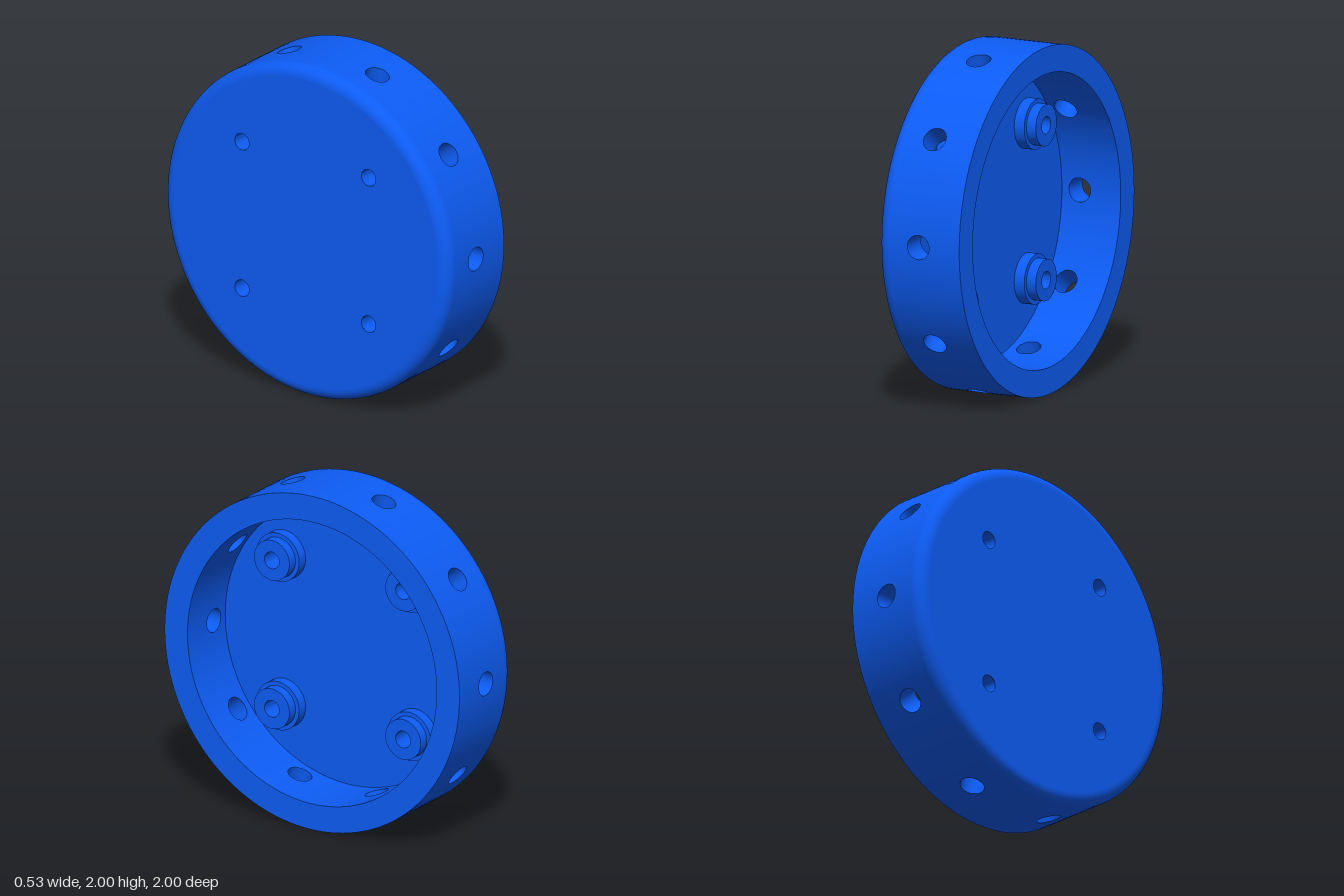
import * as THREE from 'three';
import { toCreasedNormals } from 'three/addons/utils/BufferGeometryUtils.js';

const R = 1, INNER = 0.845;                  // outer and inner wall radius
const BACK = -0.265, RIM = 0.265;            // ends along the axis
const FLOOR = -0.115, FILLET = 0.07;
const HOLES = 10, HOLE_R = 0.07;             // radial holes through the wall
const BORE = 0.05, BOSS_POS = 0.445;
const SECTOR = Math.PI * 2 / HOLES;
const SEG_A = 12, SEG_Y = 8;                 // samples along the sector edges

const onWall = (r, angle, y) => [r * Math.sin(angle), y, r * Math.cos(angle)];

// Point on the edge of a radial hole where it meets radius r
const holeEdge = (r, t) => [Math.asin(HOLE_R * Math.sin(t) / r), HOLE_R * Math.cos(t)];

// Counter-clockwise outline of one wall sector in (angle, y)
function sectorOutline(y0, y1) {
  const h = SECTOR / 2, pts = [];
  const corners = [[-h, y0, SEG_A], [h, y0, SEG_Y], [h, y1, SEG_A], [-h, y1, SEG_Y]];
  corners.forEach(([a, y, n], k) => {
    const [a2, y2] = corners[(k + 1) % 4];
    for (let i = 0; i < n; i++) pts.push([a + (a2 - a) * i / n, y + (y2 - y) * i / n]);
  });
  return pts;
}

// Adds a closed band of quads between successive loops
function addBands(out, loops, flip) {
  for (let i = 0; i < loops.length - 1; i++) {
    const n = loops[i].length;
    for (let j = 0; j < n; j++) {
      const k = (j + 1) % n;
      const a = loops[i][j], b = loops[i + 1][j], c = loops[i + 1][k], d = loops[i][k];
      const tris = flip ? [a, c, b, a, d, c] : [a, b, c, a, c, d];
      for (const p of tris) out.push(...p);
    }
  }
}

function toGeometry(positions) {
  const g = new THREE.BufferGeometry();
  g.setAttribute('position', new THREE.Float32BufferAttribute(positions, 3));
  return toCreasedNormals(g, 0.6);
}

// Cylindrical skin pierced by the ring of holes
function piercedSkin(r, y0, inward) {
  const out = [], outline = sectorOutline(y0, RIM), rings = 6;
  for (let s = 0; s < HOLES; s++) {
    const loops = [];
    for (let i = 0; i <= rings; i++) {
      loops.push(outline.map(([a, y]) => {
        const [ha, hy] = holeEdge(r, Math.atan2(a * r, y));
        const f = i / rings;
        return onWall(r, s * SECTOR + ha + (a - ha) * f, hy + (y - hy) * f);
      }));
    }
    addBands(out, loops, inward);
  }
  return toGeometry(out);
}

// Linings of the radial holes
function holeLinings() {
  const out = [], outline = sectorOutline(BACK + FILLET, RIM);
  for (let s = 0; s < HOLES; s++) {
    const loops = [INNER, R].map(r => outline.map(([a, y]) => {
      const [ha, hy] = holeEdge(r, Math.atan2(a * R, y));
      return onWall(r, s * SECTOR + ha, hy);
    }));
    addBands(out, loops, false);
  }
  return toGeometry(out);
}

const bossCentres = [[1, 1], [1, -1], [-1, 1], [-1, -1]]
  .map(([x, z]) => [x * BOSS_POS, z * BOSS_POS]);

// Flat disc with the four bores cut out
function drilledDisc(radius, y, up) {
  const shape = new THREE.Shape().absarc(0, 0, radius, 0, Math.PI * 2);
  for (const [x, z] of bossCentres) {
    shape.holes.push(new THREE.Path().absarc(x, z, BORE, 0, Math.PI * 2, true));
  }
  return new THREE.ShapeGeometry(shape, 60)
    .rotateX(up ? -Math.PI / 2 : Math.PI / 2).translate(0, y, 0);
}

export function createModel() {
  const material = new THREE.MeshStandardMaterial({ color: 0x0d5cf5 });
  const model = new THREE.Group();
  model.name = 'drilledCap';
  const body = new THREE.Group();            // built around y, then laid along x
  body.name = 'capBody';
  const add = (name, geometry) => {
    const mesh = new THREE.Mesh(geometry, material);
    mesh.name = name;
    body.add(mesh);
    return mesh;
  };

  // Side wall
  add('outerWall', piercedSkin(R, BACK + FILLET, false));
  add('innerWall', piercedSkin(INNER, FLOOR, true));
  add('wallHoles', holeLinings());
  add('rim', new THREE.RingGeometry(INNER, R, HOLES * SEG_A)
    .rotateX(-Math.PI / 2).translate(0, RIM, 0));

  // Rounded edge and base
  const arc = [];
  for (let i = 0; i <= 8; i++) {
    const t = i / 8 * Math.PI / 2;
    arc.push(new THREE.Vector2(R - FILLET + FILLET * Math.sin(t), BACK + FILLET - FILLET * Math.cos(t)));
  }
  add('roundedEdge', new THREE.LatheGeometry(arc, HOLES * SEG_A));
  add('backFace', drilledDisc(R - FILLET, BACK, false));
  add('innerFloor', drilledDisc(INNER, FLOOR, true));

  // Stepped bosses with bores through the base
  const profile = [[0.145, FLOOR], [0.145, -0.05], [0.12, -0.05], [0.12, 0.01], [BORE, 0.01], [BORE, BACK]]
    .map(([r, y]) => new THREE.Vector2(r, y));
  const bossGeometry = toCreasedNormals(new THREE.LatheGeometry(profile, 48), 0.6);
  for (const [x, z] of bossCentres) add('boss', bossGeometry).position.set(x, 0, z);

  body.rotation.z = -Math.PI / 2;
  body.position.y = R;
  model.add(body);
  return model;
}
